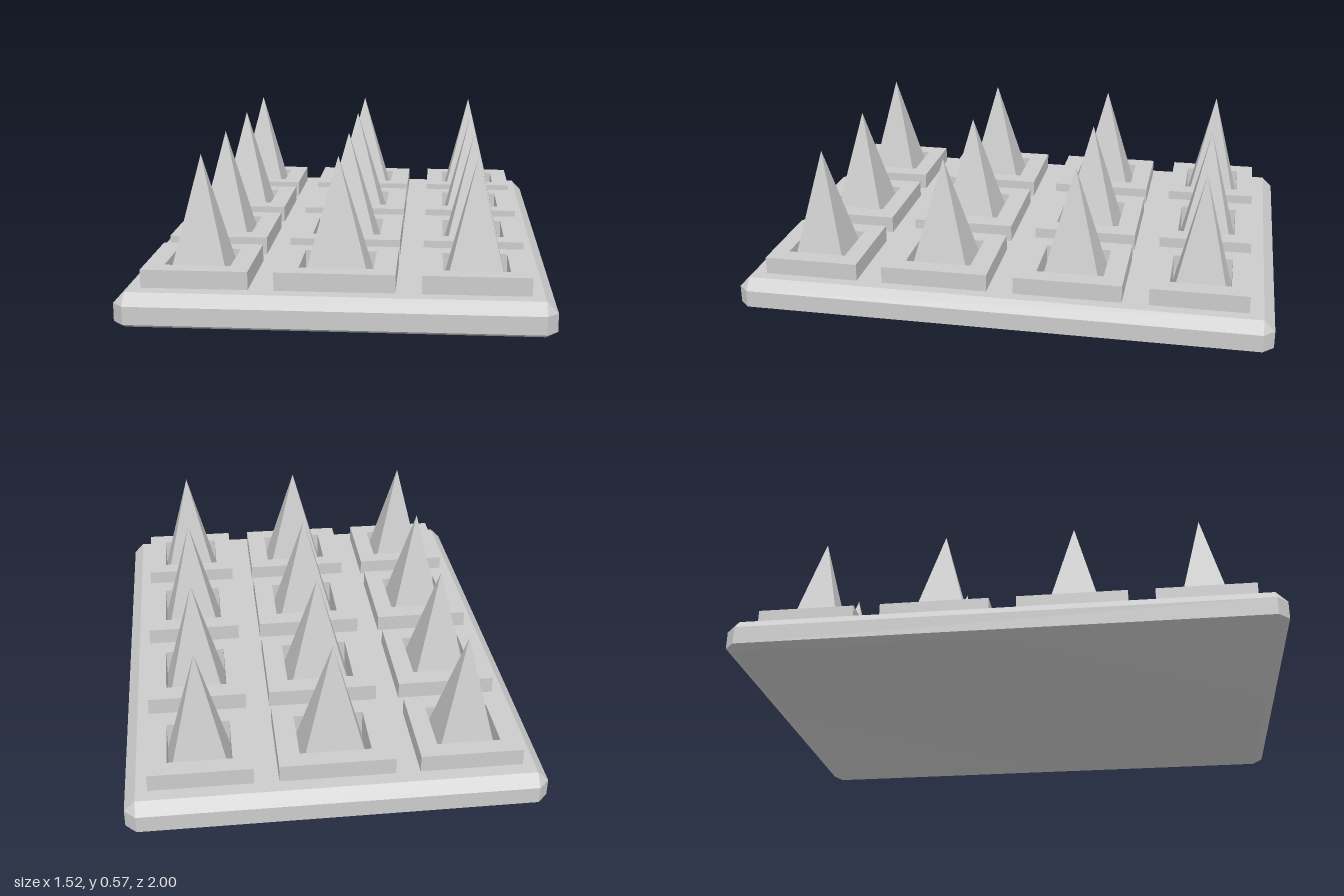
import * as THREE from 'three';
import { toCreasedNormals } from 'three/addons/utils/BufferGeometryUtils.js';

const grey = new THREE.MeshStandardMaterial({ color: 0xcccccc });
const faceted = new THREE.MeshStandardMaterial({ color: 0xcccccc, flatShading: true });

// Plate size, heights and the pad grid: [centre, half size]
const HX = 0.76, HZ = 1, CUT = 0.04;
const BEVEL_LOW = 0.02, BEVEL_HIGH = 0.085, PLATE_TOP = 0.125, PAD_TOP = 0.19, TIP = 0.567;
const COLS = [[-0.488, 0.188], [0, 0.21], [0.488, 0.188]];
const ROWS = [[-0.729, 0.179], [-0.251, 0.201], [0.251, 0.201], [0.729, 0.179]];
const SOCKET = 0.622; // socket size relative to its pad

function rect(Kind, cx, cy, hx, hy) {
  return new Kind([[-1, -1], [1, -1], [1, 1], [-1, 1]]
    .map(([sx, sy]) => new THREE.Vector2(cx + sx * hx, cy + sy * hy)));
}

// Bevelled plate sides and underside, from four rings of eight points
function plateBody() {
  const x = HX - CUT, z = HZ - CUT;
  const octagon = [[x, HZ], [HX, z], [HX, -z], [x, -HZ], [-x, -HZ], [-HX, -z], [-HX, z], [-x, HZ]];
  const inner = octagon.map(([px, pz]) => [Math.sign(px) * x, Math.sign(pz) * z]);
  const rings = [[inner, 0], [octagon, BEVEL_LOW], [octagon, BEVEL_HIGH], [inner, PLATE_TOP]];
  const pos = rings.flatMap(([ring, y]) => ring.flatMap(([px, pz]) => [px, y, pz]));
  const index = [0, 4, 2, 0, 6, 4];
  for (let r = 0; r < 3; r++) {
    for (let i = 0; i < 8; i++) {
      const j = (i + 1) % 8, corner = i % 2 === 0;
      const a = r * 8 + i, b = r * 8 + j, c = b + 8, d = a + 8;
      // corner bevels shrink to a triangle
      if (!(corner && r === 0)) index.push(a, b, c);
      if (!(corner && r === 2)) index.push(a, c, d);
    }
  }
  const geo = new THREE.BufferGeometry();
  geo.setAttribute('position', new THREE.Float32BufferAttribute(pos, 3));
  geo.setIndex(index);
  return toCreasedNormals(geo, Math.PI / 6);
}

// Plate top with a socket opening under every pad
function plateTop() {
  const shape = rect(THREE.Shape, 0, 0, HX - CUT, HZ - CUT);
  for (const [x, hx] of COLS) {
    for (const [z, hz] of ROWS) shape.holes.push(rect(THREE.Path, x, -z, hx * SOCKET, hz * SOCKET));
  }
  return new THREE.ShapeGeometry(shape).rotateX(-Math.PI / 2).translate(0, PLATE_TOP, 0);
}

// Square frame whose socket walls reach down into the plate
function padGeometry(hx, hz) {
  const shape = rect(THREE.Shape, 0, 0, hx, hz);
  shape.holes.push(rect(THREE.Path, 0, 0, hx * SOCKET, hz * SOCKET));
  return new THREE.ExtrudeGeometry(shape, { depth: PAD_TOP - BEVEL_HIGH, bevelEnabled: false })
    .rotateX(-Math.PI / 2).translate(0, BEVEL_HIGH, 0);
}

// Four-sided spike standing at the bottom of the socket
function spikeGeometry(hx, hz) {
  const h = TIP - BEVEL_HIGH;
  return new THREE.ConeGeometry(Math.SQRT2, h, 4).rotateY(Math.PI / 4)
    .scale(hx * SOCKET, 1, hz * SOCKET).translate(0, BEVEL_HIGH + h / 2, 0);
}

export function createModel() {
  const model = new THREE.Group();
  model.name = 'spikeBoard';
  const add = (parent, name, geo, material) => {
    const mesh = new THREE.Mesh(geo, material);
    mesh.name = name;
    parent.add(mesh);
  };

  const plate = new THREE.Group();
  plate.name = 'plate';
  add(plate, 'plateBody', plateBody(), grey);
  add(plate, 'plateTop', plateTop(), grey);
  model.add(plate);

  for (const [x, hx] of COLS) {
    for (const [z, hz] of ROWS) {
      const unit = new THREE.Group();
      unit.name = 'spikeUnit';
      unit.position.set(x, 0, z);
      add(unit, 'pad', padGeometry(hx, hz), faceted);
      add(unit, 'spike', spikeGeometry(hx, hz), faceted);
      model.add(unit);
    }
  }
  return model;
}
